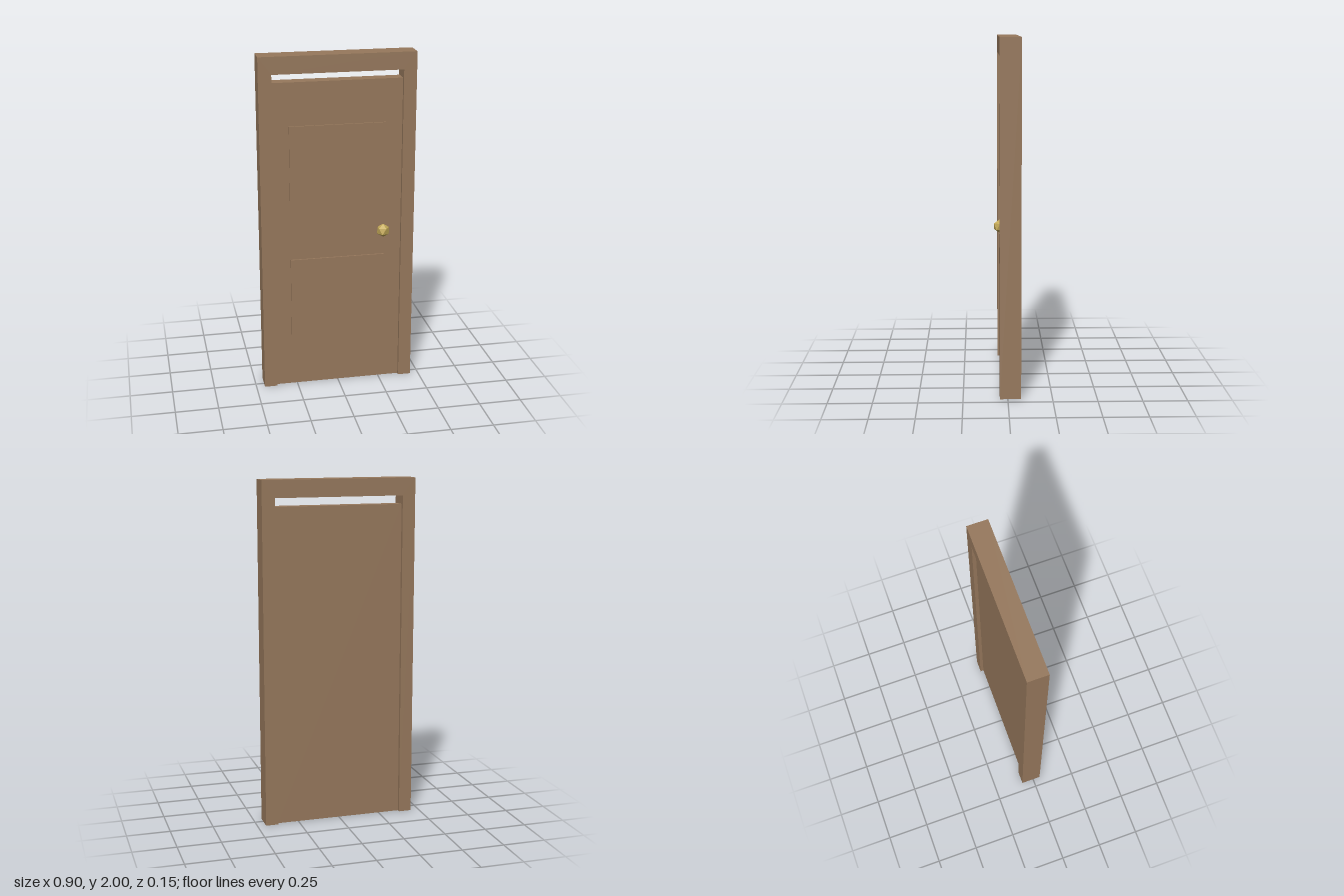
import * as THREE from 'three';
import { ConvexGeometry } from 'three/addons/geometries/ConvexGeometry.js';

export function createModel() {
  const model = new THREE.Group();
  model.name = 'door';

  const wood = new THREE.MeshStandardMaterial({ color: 0x96785c });
  wood.name = 'brown wood';
  const brass = new THREE.MeshStandardMaterial({ color: 0xc4aa58 });
  brass.name = 'brass';

  const add = (name, geometry, material, x, y, z) => {
    const mesh = new THREE.Mesh(geometry, material);
    mesh.name = name;
    mesh.position.set(x, y, z);
    model.add(mesh);
  };

  const back = -0.0745, depth = 0.119, recess = 0.02;
  const centreZ = back + depth / 2;
  const leafDepth = depth - 2 * recess;
  const leafFront = centreZ + leafDepth / 2;

  // Frame: two jambs and a lintel in one outline, open at the floor
  const outline = new THREE.Shape([
    [-0.45, 0], [-0.375, 0], [-0.375, 1.9], [0.375, 1.9],
    [0.375, 0], [0.45, 0], [0.45, 2], [-0.45, 2],
  ].map(([x, y]) => new THREE.Vector2(x, y)));
  add('frame', new THREE.ExtrudeGeometry(outline, { depth, bevelEnabled: false }), wood, 0, 0, back);

  // Door leaf, set back on both sides with a gap below the lintel
  add('doorLeaf', new THREE.BoxGeometry(0.75, 1.85, leafDepth), wood, 0, 0.925, centreZ);

  // Raised panels on the front only
  for (const [name, y] of [['lowerPanel', 0.55], ['upperPanel', 1.35]]) {
    add(name, new THREE.BoxGeometry(0.56, 0.5, 0.02), wood, 0, y, leafFront);
  }

  // Knob: twenty-sided ball with its poles up and down
  const r = 0.04, ring = r * 2 / Math.sqrt(5), h = r / Math.sqrt(5);
  const points = [new THREE.Vector3(0, r, 0), new THREE.Vector3(0, -r, 0)];
  for (let i = 0; i < 5; i++) {
    const a = i * Math.PI * 2 / 5;
    points.push(new THREE.Vector3(ring * Math.cos(a), h, ring * Math.sin(a)));
    points.push(new THREE.Vector3(-ring * Math.cos(a), -h, -ring * Math.sin(a)));
  }
  add('knob', new ConvexGeometry(points), brass, 0.268, 0.95, 0.0395);

  return model;
}
